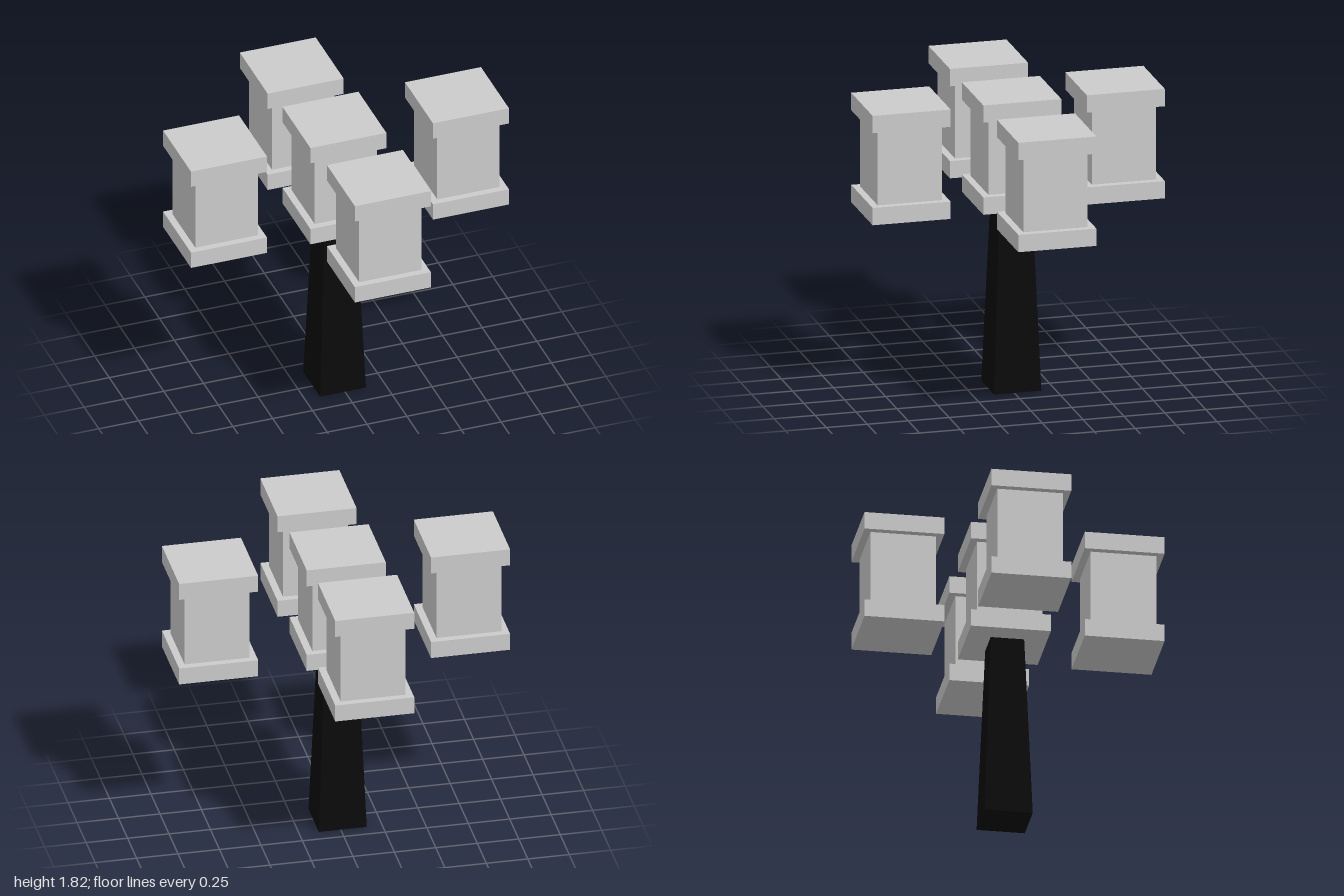
import * as THREE from 'three';

const grey = new THREE.MeshStandardMaterial({ color: 0xcccccc, flatShading: true });
const black = new THREE.MeshStandardMaterial({ color: 0x0a0a0a, flatShading: true });

function box(name, width, y0, y1) {
  const mesh = new THREE.Mesh(new THREE.BoxGeometry(width, y1 - y0, width), grey);
  mesh.name = name;
  mesh.position.y = (y0 + y1) / 2;
  return mesh;
}

// Square block with a wider slab below and above
function createBlock(name, x, z) {
  const block = new THREE.Group();
  block.name = name;
  block.add(
    box('baseSlab', 0.477, 1.145, 1.252),
    box('body', 0.392, 1.252, 1.713),
    box('topSlab', 0.477, 1.713, 1.82),
  );
  block.position.set(x, 0, z);
  return block;
}

export function createModel() {
  const model = new THREE.Group();
  model.name = 'blockTree';

  // Tapered square trunk
  const height = 1.145;
  const trunkShape = new THREE.CylinderGeometry(0.1 * Math.SQRT2, 0.144 * Math.SQRT2, height, 4);
  trunkShape.rotateY(Math.PI / 4);
  const trunk = new THREE.Mesh(trunkShape, black);
  trunk.name = 'trunk';
  trunk.position.set(-0.012, height / 2, -0.021);
  model.add(trunk);

  // One block on the trunk and four floating around it
  const blocks = [
    ['centreBlock', -0.012, -0.023],
    ['leftBlock', 0.758, -0.025],
    ['rightBlock', -0.761, -0.025],
    ['frontBlock', 0.015, 0.661],
    ['backBlock', -0.044, -0.664],
  ];
  for (const [name, x, z] of blocks) model.add(createBlock(name, x, z));

  return model;
}
